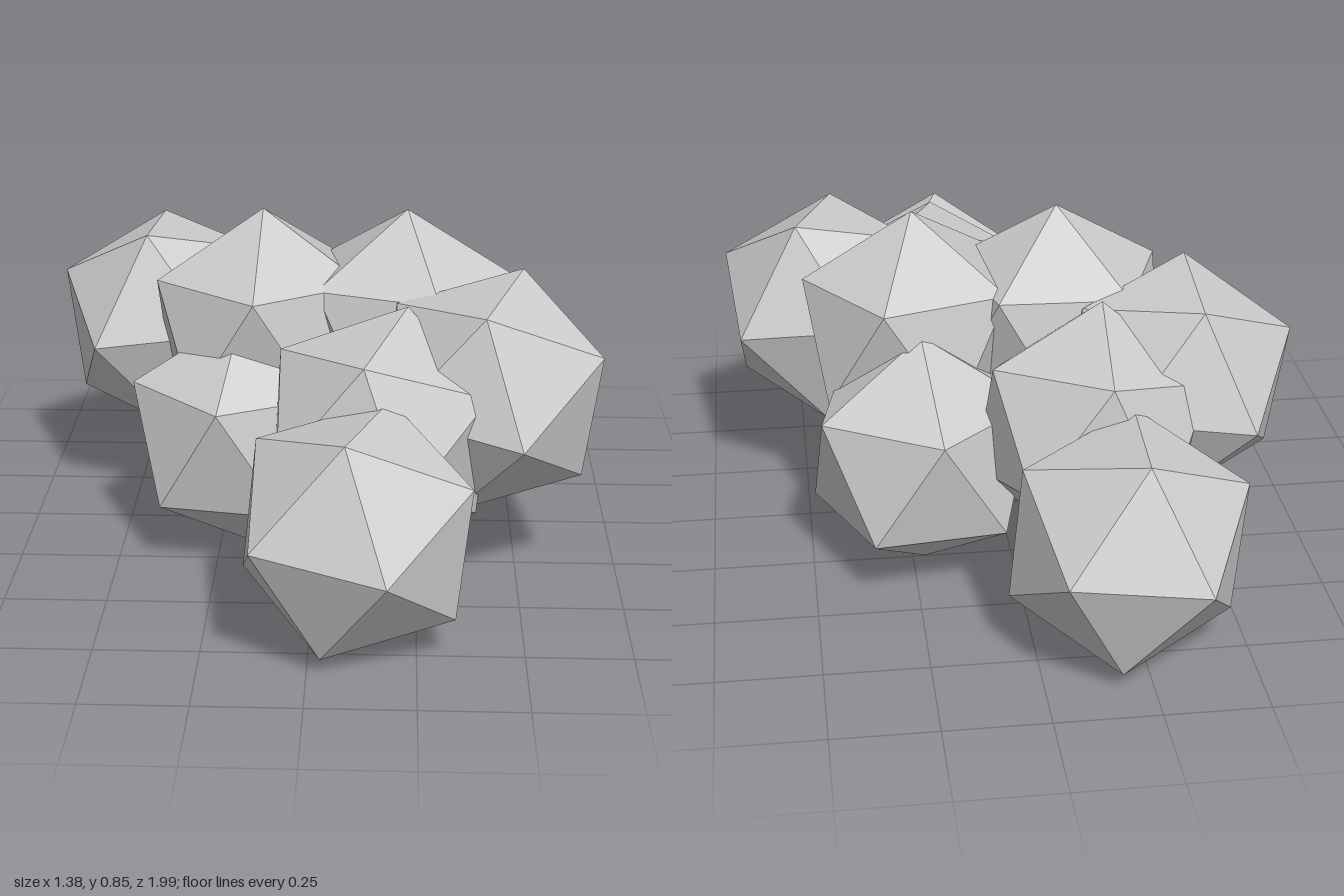
import * as THREE from 'three';

const RADIUS = 0.307;

// Each boulder: centre, then the directions of two neighbouring corners that fix its tilt
const BOULDERS = [
  ['frontBoulder',      [0.107, 0.295, 0.70],    [0.072, -0.005, 0.295],  [-0.021, 0.262, 0.155]],
  ['backBoulder',       [-0.212, 0.295, -0.725], [-0.018, 0.265, -0.15],  [-0.145, 0, -0.272]],
  ['leftBoulder',       [0.423, 0.478, 0.278],   [0.262, 0.114, 0.098],   [0.237, -0.202, 0.06]],
  ['rightBoulder',      [-0.41, 0.473, -0.248],  [-0.28, 0.121, -0.009],  [-0.18, 0.003, 0.248]],
  ['topRightBoulder',   [-0.143, 0.54, -0.01],   [0, 1, 0],               [-0.01, 0.137, 0.27]],
  ['topLeftBoulder',    [0.22, 0.54, -0.013],    [0, 1, 0],               [0.275, 0.137, 0.005]],
  ['baseRightBoulder',  [-0.19, 0.307, 0.13],    [0, 1, 0],               [-0.045, 0.137, 0.268]],
  ['baseLeftBoulder',   [0.22, 0.307, -0.247],   [0, 1, 0],               [-0.03, 0.137, -0.27]],
  ['frontInnerBoulder', [0.155, 0.407, 0.383],   [0.071, 0.283, -0.113],  [-0.035, 0.216, 0.197]],
  ['backInnerBoulder',  [-0.18, 0.41, -0.375],   [-0.02, 0.215, -0.24],   [0.246, 0.18, -0.03]],
];

// Turns the icosahedron's top edge so that its two ends point along a and b
function tilt(a, b) {
  const p = new THREE.Vector3(...a).normalize();
  const q = new THREE.Vector3(...b).normalize();
  const up = p.clone().add(q).normalize();
  const along = p.clone().sub(q).normalize();
  const side = along.clone().cross(up);
  return new THREE.Matrix4().makeBasis(along, up, side);
}

export function createModel() {
  const group = new THREE.Group();
  group.name = 'boulderCluster';
  const material = new THREE.MeshStandardMaterial({ color: 0xcccccc, flatShading: true });
  const geometry = new THREE.IcosahedronGeometry(RADIUS, 0);

  for (const [name, centre, a, b] of BOULDERS) {
    const boulder = new THREE.Mesh(geometry, material);
    boulder.name = name;
    boulder.position.set(...centre);
    boulder.quaternion.setFromRotationMatrix(tilt(a, b));
    group.add(boulder);
  }
  return group;
}
